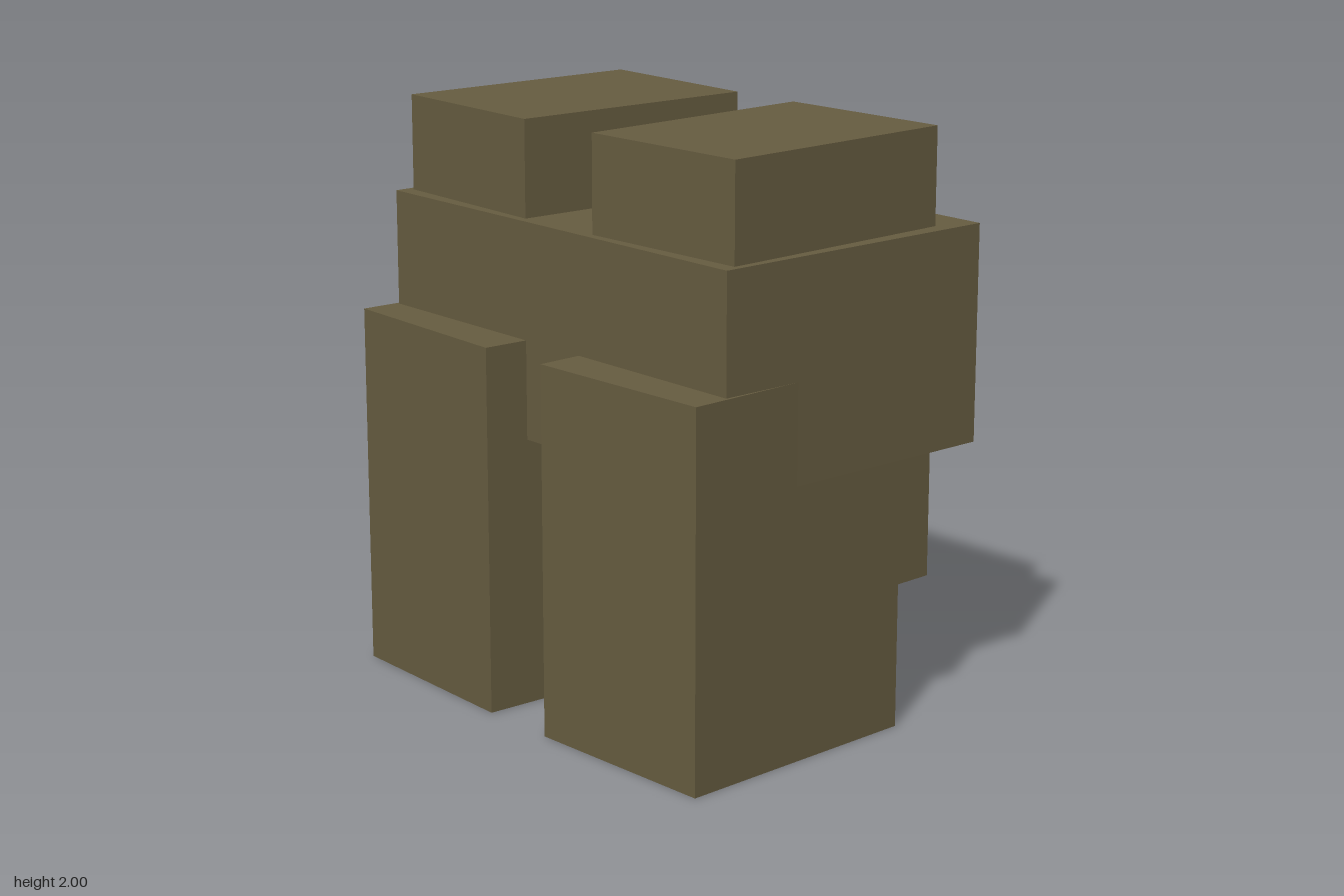
import * as THREE from 'three';

export function createModel() {
  const model = new THREE.Group();
  model.name = 'blockFigure';
  const olive = new THREE.MeshStandardMaterial({ color: 0x665c40 });
  olive.name = 'olive brown';

  // Box given by its size, centre and turn about the vertical
  function block(name, [w, h, d], [x, y, z], turn = 0) {
    const mesh = new THREE.Mesh(new THREE.BoxGeometry(w, h, d), olive);
    mesh.name = name;
    mesh.position.set(x, y, z);
    mesh.rotation.y = turn;
    model.add(mesh);
  }

  // Wide middle block
  block('body', [1.7, 0.74, 1.108], [0, 1.3, -0.082]);

  // Mirrored pairs, splayed slightly outward
  for (const [side, s] of [['left', 1], ['right', -1]]) {
    block(side + 'Leg', [0.723, 1.27, 0.92], [s * 0.488, 0.635, 0.162], s * 0.036);
    block(side + 'Pillar', [0.652, 1.52, 0.907], [s * 0.482, 1.24, -0.024], s * 0.036);
  }
  return model;
}
